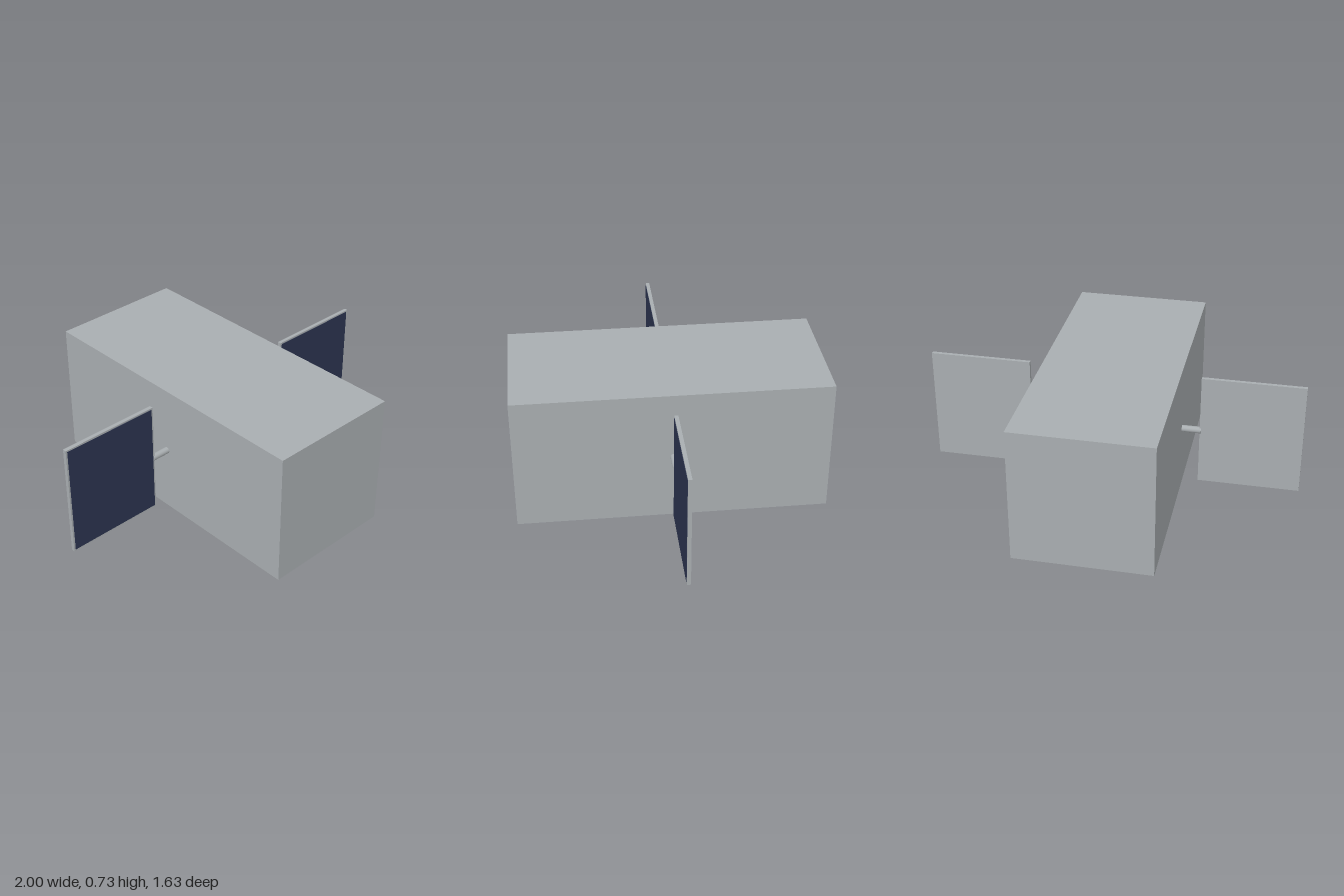
import * as THREE from 'three';

export function createModel() {
  const model = new THREE.Group();
  const metal = new THREE.MeshStandardMaterial({ color: 0xa9aeb1 });
  metal.name = 'greyMetal';
  const cells = new THREE.MeshStandardMaterial({ color: 0x2c3450 });
  cells.name = 'darkBlueCells';

  const midY = 0.364;

  function add(name, geometry, material, x, y, z, parent) {
    const mesh = new THREE.Mesh(geometry, material);
    mesh.name = name;
    mesh.position.set(x, y, z);
    parent.add(mesh);
    return mesh;
  }

  // Main box body
  add('body', new THREE.BoxGeometry(0.726, 0.728, 1.634), metal, 0, midY, 0, model);

  // One solar wing on each side: boom, panel and front cell sheet
  for (const side of [1, -1]) {
    const wing = new THREE.Group();
    wing.name = side > 0 ? 'leftWing' : 'rightWing';
    model.add(wing);

    const boomShape = new THREE.CylinderGeometry(0.018, 0.018, 0.11, 12);
    boomShape.rotateZ(Math.PI / 2);
    add('boom', boomShape, metal, side * 0.41, midY, 0, wing);

    add('panel', new THREE.BoxGeometry(0.542, 0.618, 0.02), metal, side * 0.729, midY + 0.002, 0, wing);
    add('cellSheet', new THREE.BoxGeometry(0.524, 0.6, 0.003), cells, side * 0.729, midY + 0.002, 0.0105, wing);
  }

  return model;
}
